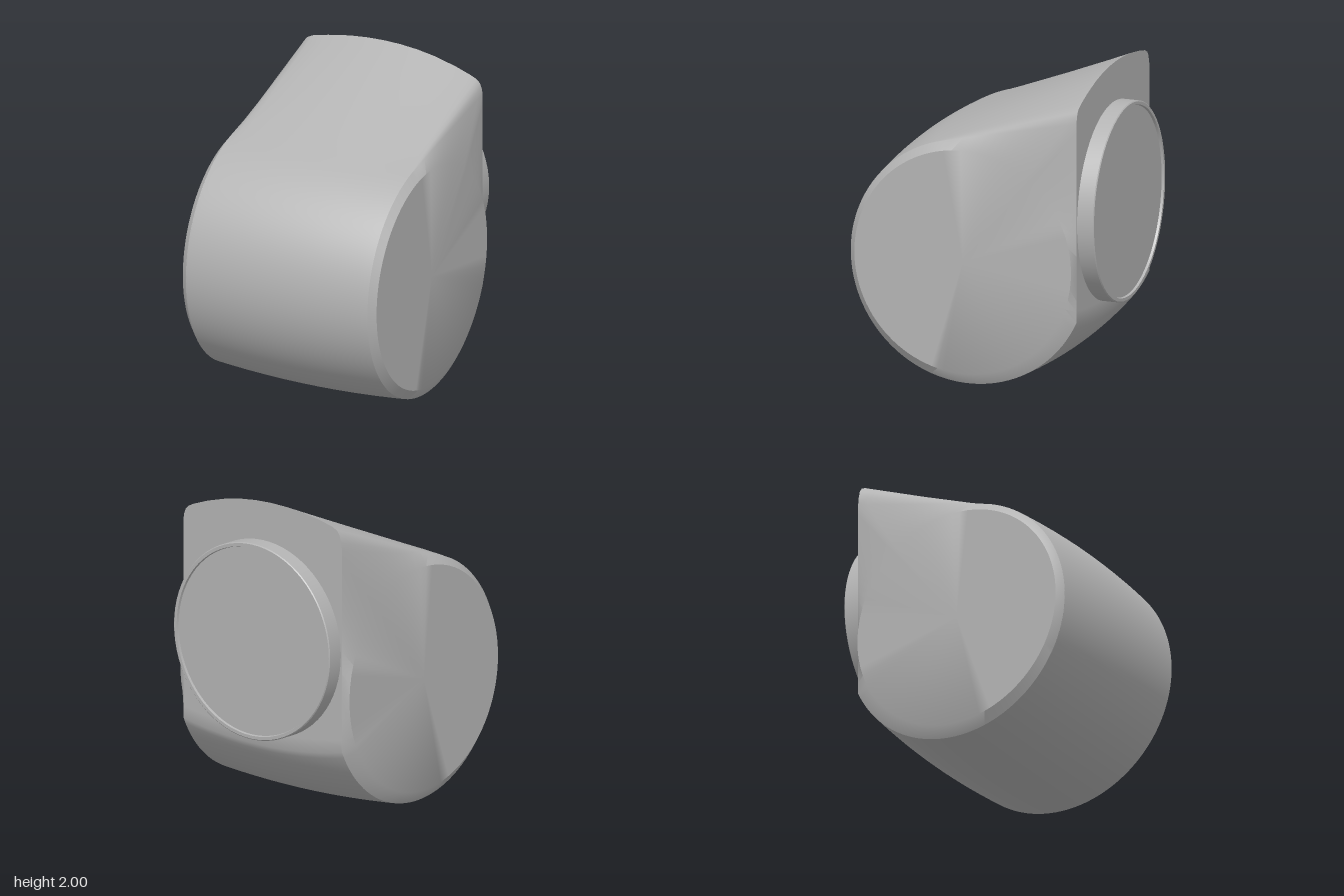
import * as THREE from 'three';
import { toCreasedNormals } from 'three/addons/utils/BufferGeometryUtils.js';

const CY = 0.815, CZ = 0.005, BACK = -0.71;
const ARC = 72, SLOPE = 14, WALL = 18;

// Teardrop outline as [y, z]: round drum, straight tangent slope up to the back, flat back wall
function outline(radius, top) {
  const pts = [];
  const dz = BACK - CZ, dy = top - CY;
  // angles run from the bottom (0) through the front to the top (PI)
  const start = -Math.asin(-dz / radius);
  const toCorner = Math.atan2(-dz, dy);
  const end = Math.PI - (Math.acos(radius / Math.hypot(dy, dz)) - toCorner);
  const at = (a) => [CY - radius * Math.cos(a), CZ + radius * Math.sin(a)];
  const line = (a, b, n) => {
    for (let i = 0; i < n; i++) {
      const t = i / n;
      pts.push([a[0] + (b[0] - a[0]) * t, a[1] + (b[1] - a[1]) * t]);
    }
  };
  for (let i = 0; i < ARC; i++) pts.push(at(start + (end - start) * i / ARC));
  line(at(end), [top, BACK], SLOPE);
  line([top, BACK], at(start), WALL);
  return pts;
}

// Each outline point drawn in radially to the edge of the flat round side
function sideEdge(ring) {
  const cy = 0.82, cz = 0.03, r = 0.72;
  return ring.map(([y, z]) => {
    const d = Math.hypot(y - cy, z - cz);
    return [cy + (y - cy) * r / d, cz + (z - cz) * r / d];
  });
}

function housingGeometry() {
  // [x, height of the top back edge]
  const stations = [
    [-0.642, 1.79], [-0.635, 1.84], [-0.622, 1.885], [-0.6, 1.915], [-0.56, 1.935],
    [-0.45, 1.96], [-0.3, 1.985], [-0.18, 1.996], [-0.06, 2.0], [0.06, 1.996],
    [0.18, 1.984], [0.3, 1.963], [0.45, 1.923], [0.56, 1.884], [0.6, 1.865],
    [0.622, 1.845], [0.635, 1.815], [0.642, 1.775],
  ];
  const rings = stations.map(([x, top]) => ({
    x, pts: outline(0.815 - 0.03 * (x / 0.642) ** 2, top),
  }));
  rings.unshift({ x: -0.685, pts: sideEdge(rings[0].pts) });
  rings.push({ x: 0.685, pts: sideEdge(rings[rings.length - 1].pts) });

  const n = ARC + SLOPE + WALL, pos = [], idx = [];
  rings.forEach(({ x, pts }) => pts.forEach(([y, z]) => pos.push(x, y, z)));
  for (let i = 0; i < rings.length - 1; i++) {
    for (let j = 0; j < n; j++) {
      const k = (j + 1) % n;
      const a = i * n + j, b = i * n + k, c = a + n, d = b + n;
      idx.push(a, c, b, b, c, d);
    }
  }
  // flat round sides
  const left = (rings.length - 1) * n, centre = pos.length / 3;
  pos.push(-0.685, 0.82, 0.03, 0.685, 0.82, 0.03);
  for (let j = 0; j < n; j++) {
    const k = (j + 1) % n;
    idx.push(centre, j, k, centre + 1, left + k, left + j);
  }
  const geo = new THREE.BufferGeometry();
  geo.setAttribute('position', new THREE.Float32BufferAttribute(pos, 3));
  geo.setIndex(idx);
  return toCreasedNormals(geo, 0.6);
}

// Short round collar with a thin lip around a slightly sunken face
function collarGeometry() {
  const profile = [
    [0.632, -0.12], [0.632, 0.104], [0.626, 0.11], [0.606, 0.11], [0.602, 0.095], [0, 0.095],
  ].map(([r, h]) => new THREE.Vector2(r, h));
  const geo = new THREE.LatheGeometry(profile, 72);
  geo.rotateX(-Math.PI / 2);
  return toCreasedNormals(geo, 0.6);
}

export function createModel() {
  const model = new THREE.Group();
  model.name = 'ductHousing';
  const grey = new THREE.MeshStandardMaterial({ color: 0xb3b3b3 });
  grey.name = 'grey';

  const housing = new THREE.Mesh(housingGeometry(), grey);
  housing.name = 'housing';

  const collar = new THREE.Mesh(collarGeometry(), grey);
  collar.name = 'backCollar';
  collar.position.set(0, 1.117, BACK);

  model.add(housing, collar);
  return model;
}
